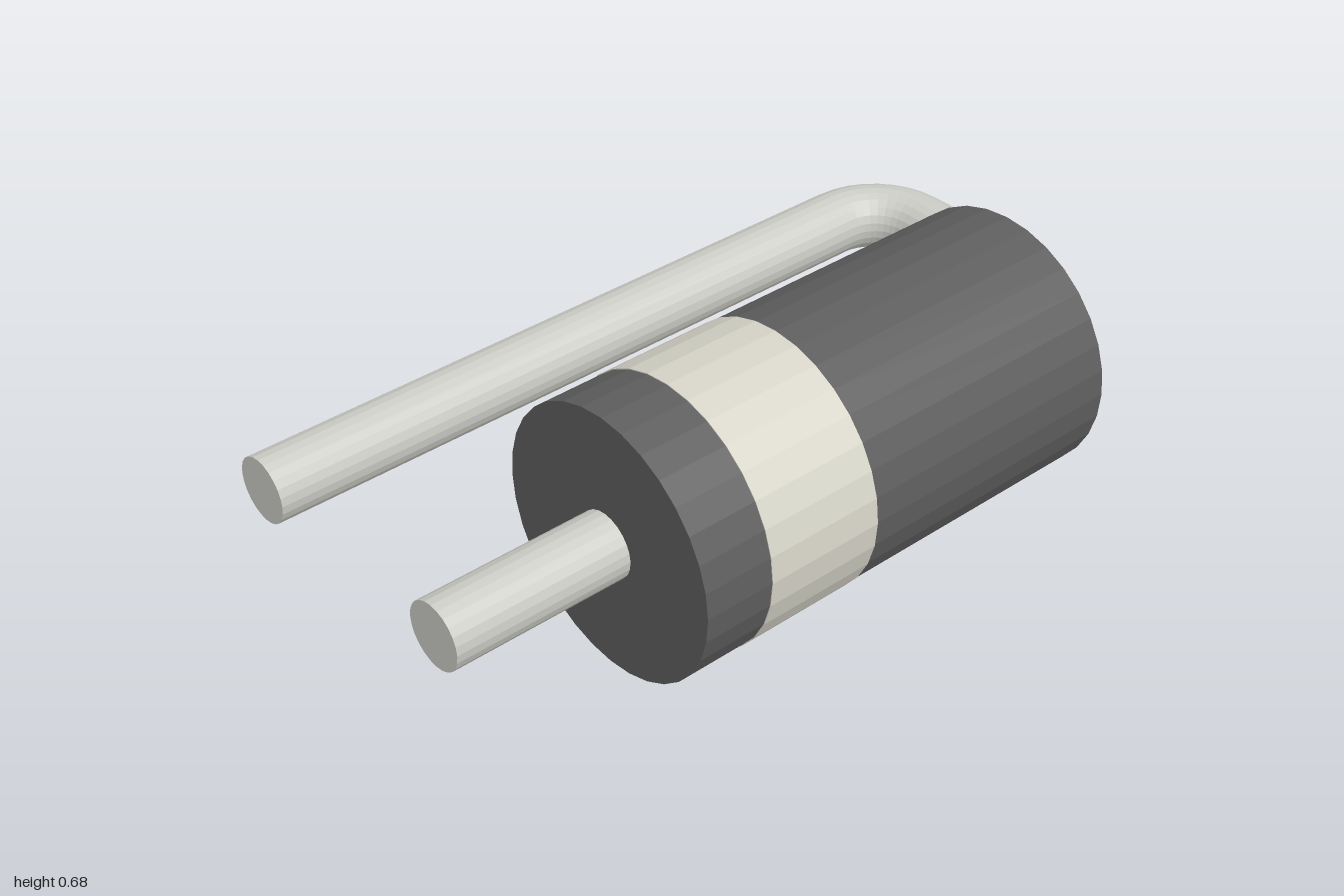
import * as THREE from 'three';

const CY = 0.338;          // height of the centre axis
const BODY_X = 0.2;        // body axis
const RETURN_X = -0.456;   // axis of the folded-back lead
const WIRE_R = 0.083;
const BEND_R = 0.167;
const BEND_Z = -0.75;      // where the bends begin
const BACK_Z = BEND_Z - BEND_R;

const material = (color) => new THREE.MeshStandardMaterial({ color, flatShading: true });

export function createModel() {
  const model = new THREE.Group();
  model.name = 'axialDiode';
  const dark = material(0x5e5e5e);
  const pale = material(0xd6d4c8);
  const metal = material(0xccccc6);

  const add = (parent, name, geometry, mat, x, z) => {
    const mesh = new THREE.Mesh(geometry, mat);
    mesh.name = name;
    mesh.position.set(x, CY, z);
    parent.add(mesh);
    return mesh;
  };

  // Cylinder lying along z between z0 and z1
  const rod = (parent, name, r, sides, mat, x, z0, z1) =>
    add(parent, name,
      new THREE.CylinderGeometry(r, r, z1 - z0, sides).rotateX(Math.PI / 2),
      mat, x, (z0 + z1) / 2);

  // Body in two dark sections with a pale band between
  rod(model, 'bodyRear', 0.336, 32, dark, BODY_X, -0.685, 0.055);
  rod(model, 'polarityBand', 0.338, 32, pale, BODY_X, 0.055, 0.365);
  rod(model, 'bodyFront', 0.336, 32, dark, BODY_X, 0.365, 0.545);

  // Straight front lead
  rod(model, 'frontLead', WIRE_R, 24, metal, BODY_X, 0.5, 1);

  // Rear lead, folded back alongside the body
  const lead = new THREE.Group();
  lead.name = 'foldedLead';
  model.add(lead);
  rod(lead, 'leadRoot', WIRE_R, 24, metal, BODY_X, BEND_Z, -0.64);
  rod(lead, 'leadReturn', WIRE_R, 24, metal, RETURN_X, BEND_Z, 1);

  const x0 = RETURN_X + BEND_R;
  const x1 = BODY_X - BEND_R;
  add(lead, 'leadCross',
    new THREE.CylinderGeometry(WIRE_R, WIRE_R, x1 - x0, 24, 1, true).rotateZ(Math.PI / 2),
    metal, (x0 + x1) / 2, BACK_Z);

  // Quarter-turn bends
  [['bendInner', x1, 0], ['bendOuter', x0, Math.PI / 2]].forEach(([name, x, turn]) =>
    add(lead, name,
      new THREE.TorusGeometry(BEND_R, WIRE_R, 24, 8, Math.PI / 2)
        .rotateZ(turn).rotateX(-Math.PI / 2),
      metal, x, BEND_Z));

  return model;
}
